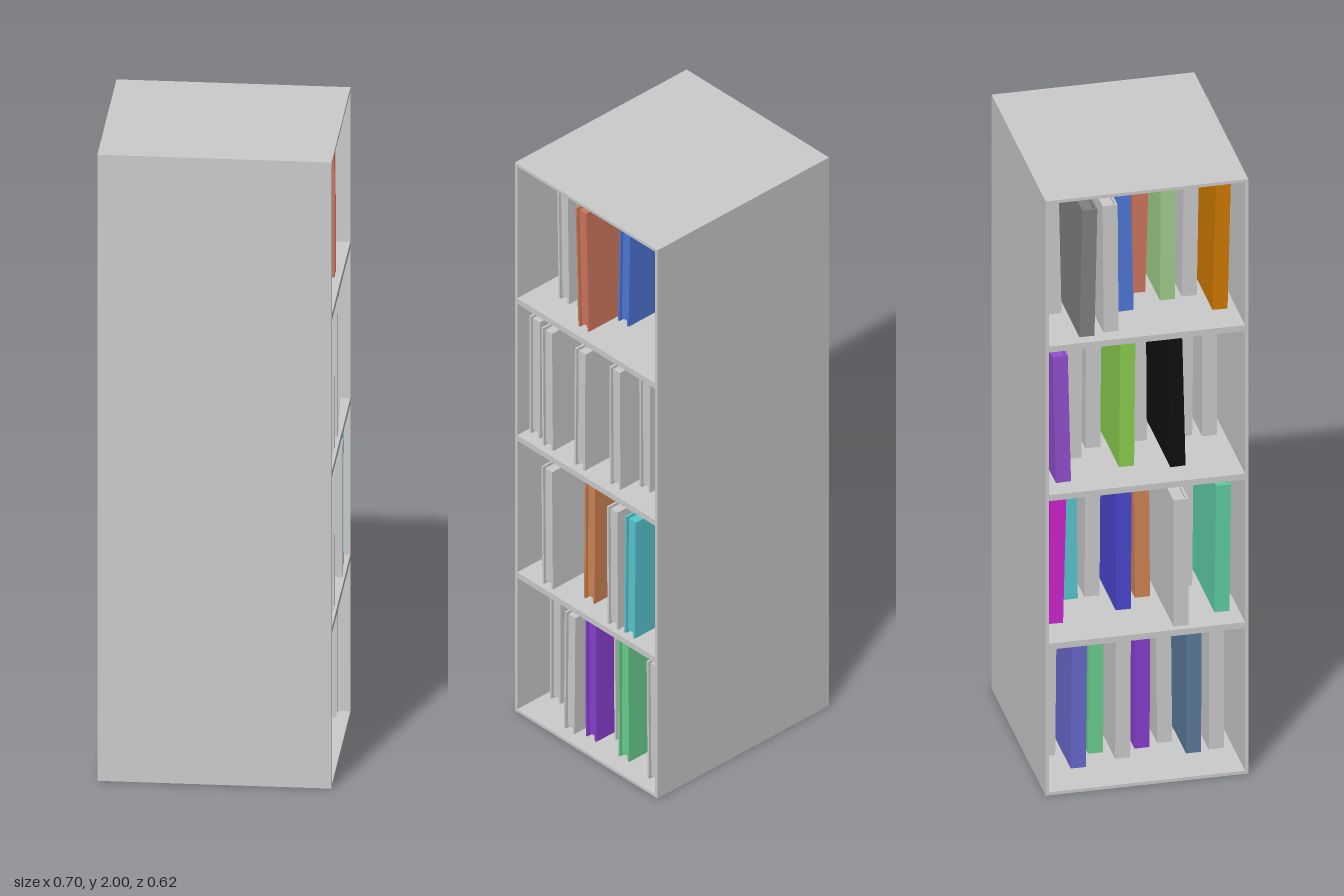
import * as THREE from 'three';

const W = 0.70, H = 2, D = 0.62, WALL = 0.01;          // cabinet
const BOOK = { depth: 0.45, height: 0.425, thick: 0.046, cover: 0.007, inset: 0.009 };
const GREY = 0xcccccc;

const materials = new Map();
function material(color) {
  if (!materials.has(color)) materials.set(color, new THREE.MeshStandardMaterial({ color }));
  return materials.get(color);
}

function box(parent, name, size, position, color = GREY) {
  const mesh = new THREE.Mesh(new THREE.BoxGeometry(...size), material(color));
  mesh.name = name;
  mesh.position.set(...position);
  parent.add(mesh);
}

// Hardback: spine towards -x, two covers and a recessed page block; origin at its centre
function makeBook(color) {
  const { depth, height, thick, cover, inset } = BOOK;
  const book = new THREE.Group();
  book.name = 'book';
  box(book, 'spine', [cover, height, thick], [-depth / 2 + cover / 2, 0, 0], color);
  for (const s of [-1, 1]) {
    box(book, 'cover', [depth - cover, height, cover], [cover / 2, 0, s * (thick - cover) / 2], color);
  }
  box(book, 'pages', [depth - cover - inset, height - 2 * inset, thick - 2 * cover],
    [(cover - inset) / 2, 0, 0], color);
  return book;
}

// Each row from the bottom up, each book from +z to -z: [fore edge x, lean in z, color]
const ROWS = [
  [[0.245, 0, GREY], [0.235, 0.002, 0x5c7a9c], [0.32, -0.004, GREY], [0.3, 0.002, 0x8840d0],
   [0.25, 0.002, GREY], [0.3, 0.002, 0x6ad090], [0.22, 0.004, 0x6a6ad0], [0.315, 0.004, GREY]],
  [[0.16, 0.005, 0x5fd0a5], [0.345, 0.004, GREY], [0.1, 0, GREY], [0.305, -0.003, 0xd08555],
   [0.24, 0.003, 0x4a48d0], [0.345, 0.003, GREY], [0.34, -0.004, 0x58c8d0], [0.2, 0.01, 0xd025d0]],
  [[0.33, 0, GREY], [0.345, 0.004, GREY], [0.16, -0.01, 0x101010], [0.345, -0.003, GREY],
   [0.195, 0.004, 0x8cd04f], [0.335, 0.002, GREY], [0.28, 0.002, GREY], [0.14, -0.01, 0x9450d0]],
  [[0.175, 0.01, 0xd07a00], [0.28, 0.007, GREY], [0.27, 0.003, 0xa3d08c], [0.335, 0.012, 0xd0775c],
   [0.23, -0.01, 0x4f78d8], [0.11, -0.003, GREY], [0.097, 0.009, 0x808080], [0.26, -0.009, GREY]],
];

export function createModel() {
  const model = new THREE.Group();
  model.name = 'bookcase';

  // Cabinet, open through both ends along x
  const cabinet = new THREE.Group();
  cabinet.name = 'cabinet';
  model.add(cabinet);
  box(cabinet, 'base', [W, WALL, D], [0, WALL / 2, 0]);
  box(cabinet, 'top', [W, WALL, D], [0, H - WALL / 2, 0]);
  for (const s of [-1, 1]) {
    box(cabinet, 'sideWall', [W, H - 2 * WALL, WALL], [0, H / 2, s * (D - WALL) / 2]);
  }
  for (let i = 1; i < 4; i++) {
    box(cabinet, 'shelf', [W, 0.02, D - 2 * WALL], [0, i * 0.5, 0]);
  }

  // Books, pushed in by varying amounts and leaning slightly
  ROWS.forEach((row, r) => {
    const shelfBooks = new THREE.Group();
    shelfBooks.name = 'bookRow';
    model.add(shelfBooks);
    row.forEach(([foreEdge, lean, color], i) => {
      const book = makeBook(color);
      book.position.set(foreEdge - BOOK.depth / 2, 0.017 + 0.505 * r + BOOK.height / 2, 0.246 - 0.071 * i);
      book.rotation.x = Math.atan2(lean, BOOK.height);
      shelfBooks.add(book);
    });
  });
  return model;
}
